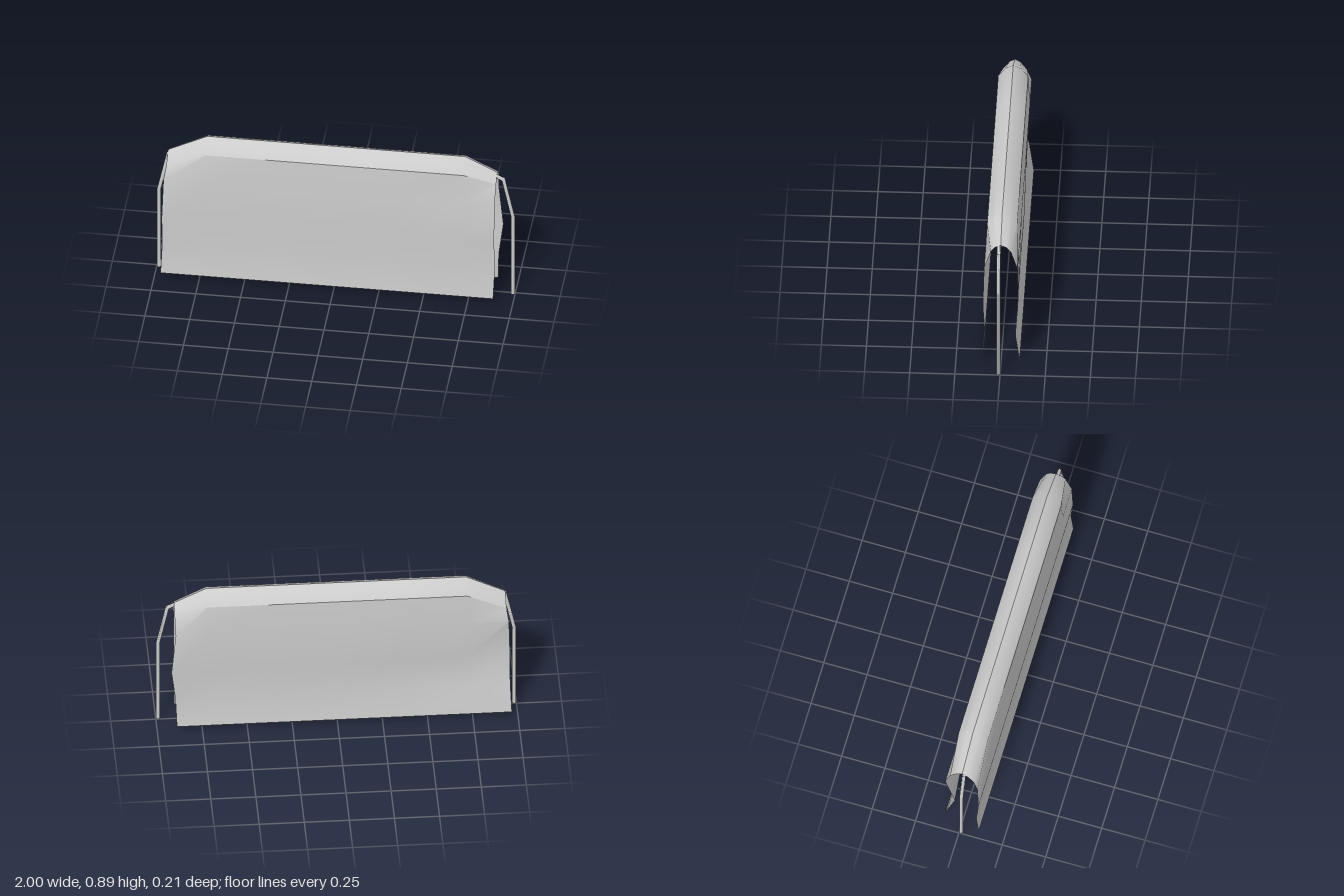
import * as THREE from 'three';
import { mergeVertices, toCreasedNormals } from 'three/addons/utils/BufferGeometryUtils.js';

// Skin a list of cross-sections (each a list of [x, y, z])
function loft(sections, crease) {
  const n = sections[0].length, index = [];
  for (let i = 0; i < sections.length - 1; i++) {
    for (let j = 0; j < n - 1; j++) {
      const a = i * n + j, b = a + n;
      index.push(a, b, b + 1, a, b + 1, a + 1);
    }
  }
  const geometry = new THREE.BufferGeometry();
  geometry.setAttribute('position', new THREE.Float32BufferAttribute(sections.flat(2), 3));
  geometry.setIndex(index);
  return toCreasedNormals(mergeVertices(geometry, 1e-5), crease);
}

// Bent round rod with mitred corners and closed ends
function rodGeometry(points, radius, z, sides = 12) {
  const path = points.map(([x, y]) => new THREE.Vector2(x, y));
  const dirs = path.slice(1).map((p, i) => p.clone().sub(path[i]).normalize());
  const ring = (p, normal, r) => Array.from({ length: sides + 1 }, (_, k) => {
    const a = (k % sides) / sides * Math.PI * 2, c = Math.cos(a) * r;
    return [p.x + normal.x * c, p.y + normal.y * c, z + Math.sin(a) * r];
  });
  const rings = path.map((p, i) => {
    const before = dirs[Math.max(i - 1, 0)], after = dirs[Math.min(i, dirs.length - 1)];
    const t = before.clone().add(after).normalize();
    const normal = new THREE.Vector2(t.y, -t.x).divideScalar(t.dot(before));
    return ring(p, normal, radius);
  });
  const flat = new THREE.Vector2(1, 0);
  rings.unshift(ring(path[0], flat, 0));
  rings.push(ring(path[path.length - 1], flat, 0));
  return loft(rings, 0.7);
}

// One cross-section of the cloth, from the front hem over the ridge to the back hem.
// top: ridge, slope and shoulder as [y, z]; curl: depth of the back panel at mid height;
// edge: x of ridge, slope, shoulder, chest, middle, low and hem
function clothSection(top, curl, edge, backBulge = 0) {
  const panel = (side) => {
    const middle = side > 0 ? 0.1 : curl;
    const low = side > 0 ? 0.088 : 0.08;
    const rows = [...top, [0.64, 0.093], [0.39, middle], [0.2, low], [0.02, 0.104]];
    return rows.map(([y, z], i) =>
      [edge[i] + (side < 0 && i === 4 ? backBulge : 0), y, side * z]);
  };
  return [...panel(1).reverse(), ...panel(-1).slice(1)];
}

export function createModel() {
  const group = new THREE.Group();
  const material = new THREE.MeshStandardMaterial({ color: 0xcccccc });
  const clothMaterial = new THREE.MeshStandardMaterial({ color: 0xcccccc, side: THREE.DoubleSide });

  // Hoop-shaped rail standing on two legs
  const half = [[0.988, 0], [0.988, 0.52], [0.935, 0.765], [0.72, 0.868]];
  const railPath = [...half.map(([x, y]) => [-x, y]), ...half.slice().reverse()];
  const rail = new THREE.Mesh(rodGeometry(railPath, 0.011, 0.01), material);
  rail.name = 'rail';
  group.add(rail);

  // Cloth hanging over the rail, sagging at both ends
  const full = [[0.893, 0], [0.87, 0.045], [0.822, 0.083]];
  const leftTop = [[0.785, 0], [0.768, 0.03], [0.715, 0.068]];
  const rightTop = [[0.803, 0], [0.788, 0.033], [0.762, 0.055]];
  const straight = (x) => Array(7).fill(x);
  const sections = [
    clothSection(leftTop, 0.035, [-0.937, -0.938, -0.94, -0.952, -0.961, -0.96, -0.967]),
    clothSection(full, 0.06, straight(-0.72)),
    clothSection(full, 0.084, straight(-0.36)),
    clothSection(full, 0.092, straight(0)),
    clothSection(full, 0.09, straight(0.36)),
    clothSection(full, 0.092, straight(0.72)),
    clothSection(rightTop, 0.096, [0.9, 0.9, 0.9, 0.896, 0.895, 0.897, 0.89], 0.025),
  ];
  const cloth = new THREE.Mesh(loft(sections, 0.55), clothMaterial);
  cloth.name = 'cloth';
  group.add(cloth);

  return group;
}
